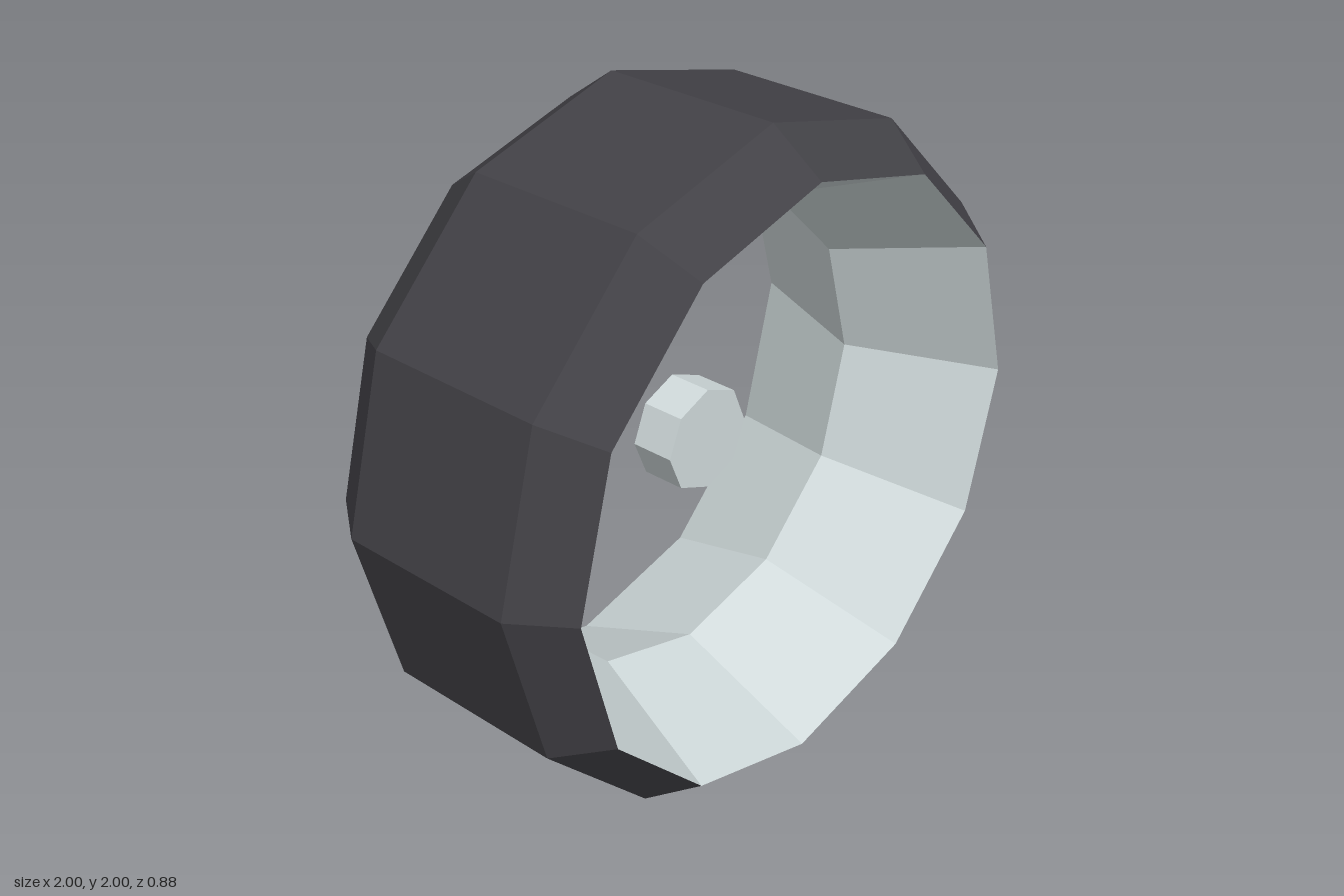
import * as THREE from 'three';

const SIDES = 12;
const HALF_WIDTH = 0.44;
const EDGE_RADIUS = 0.885;

// Faceted ring turned around the z axis from [radius, z] pairs
function ring(name, profile, material) {
  const points = profile.map(([r, z]) => new THREE.Vector2(r, z));
  const geometry = new THREE.LatheGeometry(points, SIDES);
  geometry.rotateX(Math.PI / 2);
  const mesh = new THREE.Mesh(geometry, material);
  mesh.name = name;
  return mesh;
}

export function createModel() {
  const rubber = new THREE.MeshStandardMaterial({ color: 0x424146, flatShading: true });
  rubber.name = 'dark rubber';
  const metal = new THREE.MeshStandardMaterial({ color: 0xd0dadb, flatShading: true });
  metal.name = 'pale metal';

  const wheel = new THREE.Group();
  wheel.name = 'wheel';

  // Tyre: flat tread with a chamfered shoulder on each side
  wheel.add(ring('tyre', [
    [EDGE_RADIUS, -HALF_WIDTH], [1, -0.28], [1, 0.28], [EDGE_RADIUS, HALF_WIDTH],
  ], rubber));

  // Rim: two cones meeting in a ridge at the middle, facing inward
  wheel.add(ring('rim', [
    [EDGE_RADIUS, HALF_WIDTH], [0.705, 0], [EDGE_RADIUS, -HALF_WIDTH],
  ], metal));

  // Hub: short octagonal plug at the centre
  const hub = new THREE.Mesh(new THREE.CylinderGeometry(0.157, 0.157, 0.134, 8), metal);
  hub.name = 'hub';
  hub.rotation.x = Math.PI / 2;
  wheel.add(hub);

  wheel.position.y = 1;
  const model = new THREE.Group();
  model.name = 'wheelModel';
  model.add(wheel);
  return model;
}
